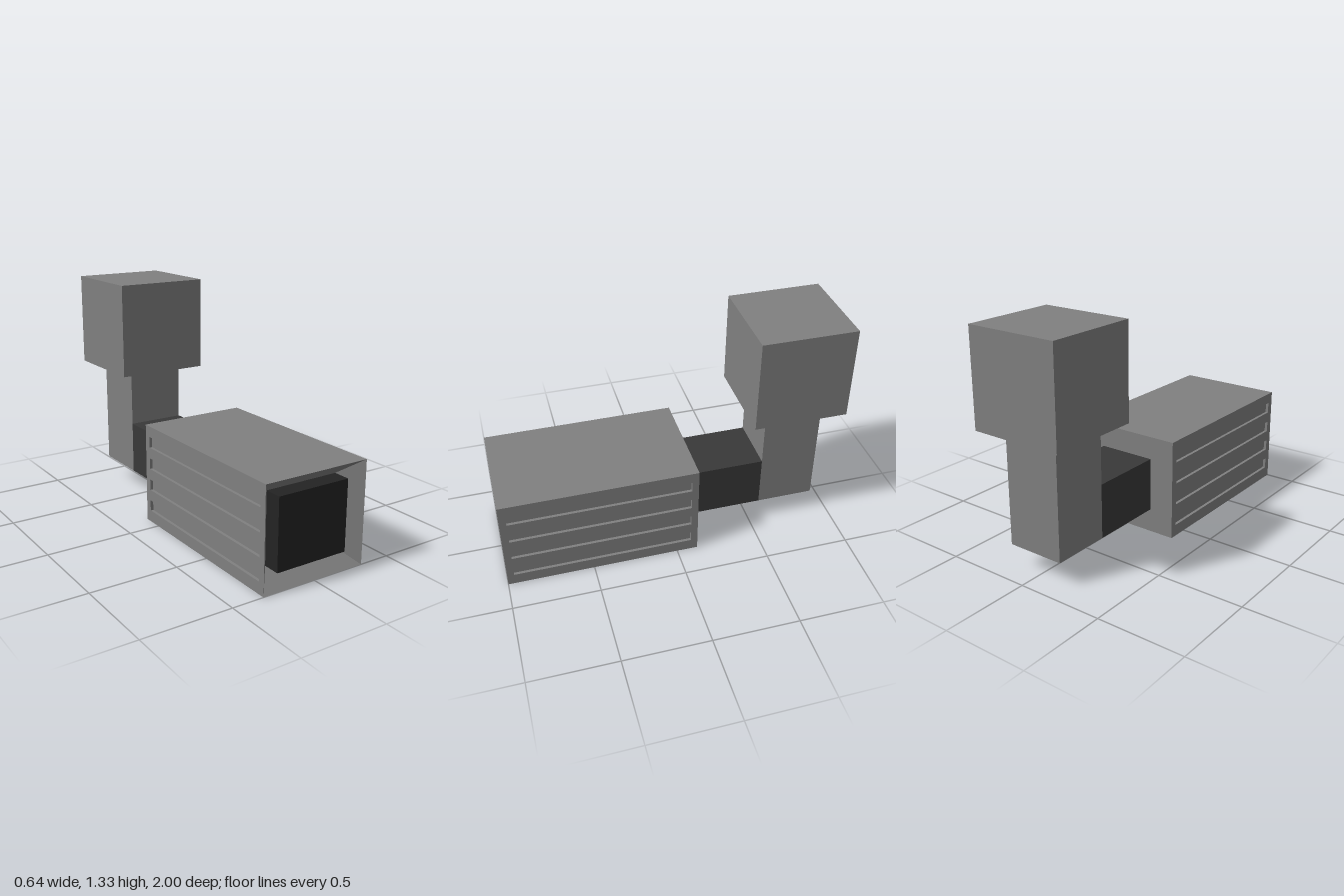
import * as THREE from 'three';

const grey = new THREE.MeshStandardMaterial({ color: 0x808080 });
const dark = new THREE.MeshStandardMaterial({ color: 0x393939 });
const black = new THREE.MeshStandardMaterial({ color: 0x232323 });

// Main housing dimensions
const W = 0.636, H = 0.58, FRONT = 1, BACK = -0.123;
const L = FRONT - BACK, MID_Z = (FRONT + BACK) / 2, MID_Y = H / 2;

function add(parent, name, geometry, material, x = 0, y = 0, z = 0) {
  const mesh = new THREE.Mesh(geometry, material);
  mesh.name = name;
  mesh.position.set(x, y, z);
  parent.add(mesh);
  return mesh;
}

// Box given by its min/max in y and z, centred on x
function block(parent, name, material, w, y0, y1, z0, z1) {
  return add(parent, name, new THREE.BoxGeometry(w, y1 - y0, z1 - z0), material,
    0, (y0 + y1) / 2, (z0 + z1) / 2);
}

function rect(w, h, z = 0) {
  return [[-1, -1], [1, -1], [1, 1], [-1, 1]].map(([a, b]) => [a * w / 2, b * h / 2, z]);
}

// Open pocket facing +z: four walls from the rim down to a floor
function recess(w, h, w2, h2, depth) {
  const rim = rect(w, h), floor = rect(w2, h2, -depth);
  const quads = [floor];
  for (let k = 0; k < 4; k++) {
    const n = (k + 1) % 4;
    quads.push([rim[k], rim[n], floor[n], floor[k]]);
  }
  const points = quads.flatMap(([a, b, c, d]) => [a, b, c, a, c, d]).flat();
  const geometry = new THREE.BufferGeometry();
  geometry.setAttribute('position', new THREE.Float32BufferAttribute(points, 3));
  geometry.computeVertexNormals();
  return geometry;
}

// Side wall with four long grooves, built facing +z
function ventedSide(name) {
  const side = new THREE.Group();
  side.name = name;
  const grooveL = 1.043, grooveH = 0.064, pitch = 0.1285;
  const path = (pts) => pts.map(([x, y]) => new THREE.Vector2(x, y));
  const shape = new THREE.Shape(path(rect(L, H)));
  for (let i = 0; i < 4; i++) {
    const y = (i - 1.5) * pitch + 0.002;
    shape.holes.push(new THREE.Path(path(rect(grooveL, grooveH).map(([a, b]) => [a, b + y]))));
    add(side, 'ventGroove', recess(grooveL, grooveH, grooveL, grooveH, 0.017), grey, 0, y, 0);
  }
  add(side, 'sidePanel', new THREE.ShapeGeometry(shape), grey);
  return side;
}

export function createModel() {
  const model = new THREE.Group();
  model.name = 'model';

  // Housing: plain top, bottom and back, grooved sides, tapered front opening
  const housing = new THREE.Group();
  housing.name = 'housing';
  model.add(housing);
  add(housing, 'top', new THREE.PlaneGeometry(W, L), grey, 0, H, MID_Z).rotation.x = -Math.PI / 2;
  add(housing, 'bottom', new THREE.PlaneGeometry(W, L), grey, 0, 0, MID_Z).rotation.x = Math.PI / 2;
  add(housing, 'back', new THREE.PlaneGeometry(W, H), grey, 0, MID_Y, BACK).rotation.y = Math.PI;
  for (const s of [1, -1]) {
    const side = ventedSide(s > 0 ? 'leftSide' : 'rightSide');
    side.rotation.y = s * Math.PI / 2;
    side.position.set(s * W / 2, MID_Y, MID_Z);
    housing.add(side);
  }
  add(housing, 'frontOpening', recess(W, H, 0.438, 0.4, 0.12), grey, 0, MID_Y, FRONT);

  // Dark block standing inside the opening
  block(model, 'frontBlock', black, 0.438, 0.09, 0.49, 0.88, 0.977);

  // Rear arm, upright column and head
  block(model, 'rearArm', dark, 0.338, 0.137, 0.448, -0.557, BACK);
  block(model, 'column', grey, 0.338, 0.137, 0.782, -0.895, -0.557);
  block(model, 'head', grey, 0.545, 0.782, 1.327, -1, -0.455);

  return model;
}
